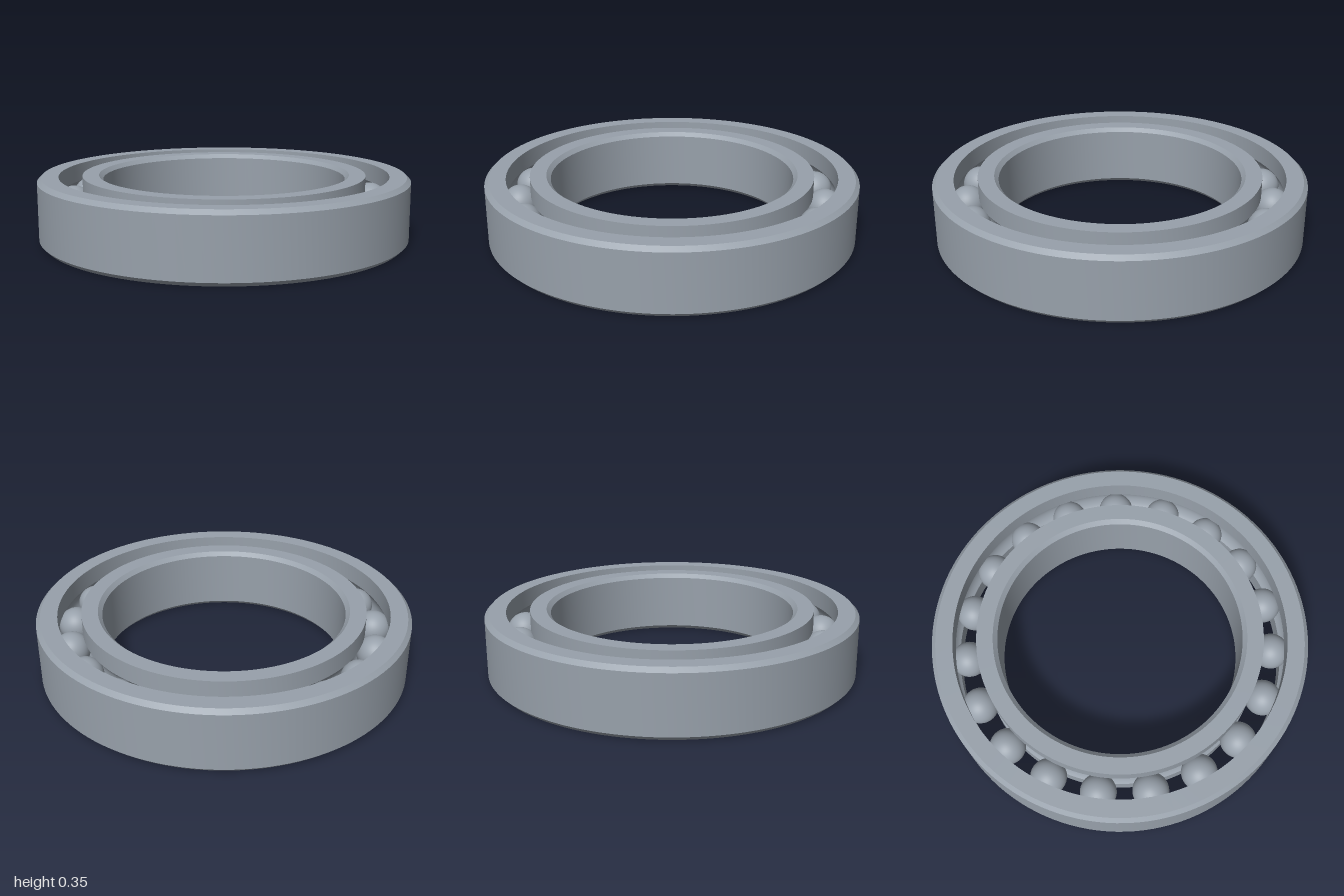
import * as THREE from 'three';
import { toCreasedNormals } from 'three/addons/utils/BufferGeometryUtils.js';

const H = 0.35;          // ring height
const C = 0.022;         // chamfer
const PITCH = 0.825;     // radius of the ball circle
const GAP = 0.0625;      // half the gap between the rings
const BALL_R = 0.096;
const GROOVE_R = 0.097;
const BALLS = 19;

export function createModel() {
  const group = new THREE.Group();
  const steel = new THREE.MeshStandardMaterial({ color: 0x98a1ab });
  steel.name = 'steel grey';

  // Arc of the ball groove; side +1 cuts the outer ring, -1 the inner ring
  const groove = (side) => {
    const a0 = Math.acos(GAP / GROOVE_R);
    const points = [];
    for (let i = 0; i <= 14; i++) {
      const a = side * a0 * (1 - (2 * i) / 14);
      points.push([PITCH + side * GROOVE_R * Math.cos(a), H / 2 + GROOVE_R * Math.sin(a)]);
    }
    return points;
  };

  // Closed cross-section turned around the axis, with crisp edges
  const addRing = (name, profile) => {
    const points = [...profile, profile[0]].map(([x, y]) => new THREE.Vector2(x, y));
    const geometry = toCreasedNormals(new THREE.LatheGeometry(points, 128), Math.PI / 6);
    const mesh = new THREE.Mesh(geometry, steel);
    mesh.name = name;
    group.add(mesh);
  };

  // Outer race, chamfered on its outside
  addRing('outerRing', [
    [1, C], [1, H - C], [1 - C, H], [PITCH + GAP, H],
    ...groove(1),
    [PITCH + GAP, 0], [1 - C, 0],
  ]);

  // Inner race, chamfered at the bore
  const bore = 0.653;
  addRing('innerRing', [
    [PITCH - GAP, 0],
    ...groove(-1),
    [PITCH - GAP, H], [bore + C, H], [bore, H - C], [bore, C], [bore + C, 0],
  ]);

  // Balls spaced evenly in the groove
  const balls = new THREE.Group();
  balls.name = 'balls';
  const ballGeometry = new THREE.SphereGeometry(BALL_R, 40, 24);
  for (let i = 0; i < BALLS; i++) {
    const a = THREE.MathUtils.degToRad(12) + (i / BALLS) * Math.PI * 2;
    const ball = new THREE.Mesh(ballGeometry, steel);
    ball.name = 'ball';
    ball.position.set(PITCH * Math.cos(a), H / 2, PITCH * Math.sin(a));
    balls.add(ball);
  }
  group.add(balls);

  return group;
}
